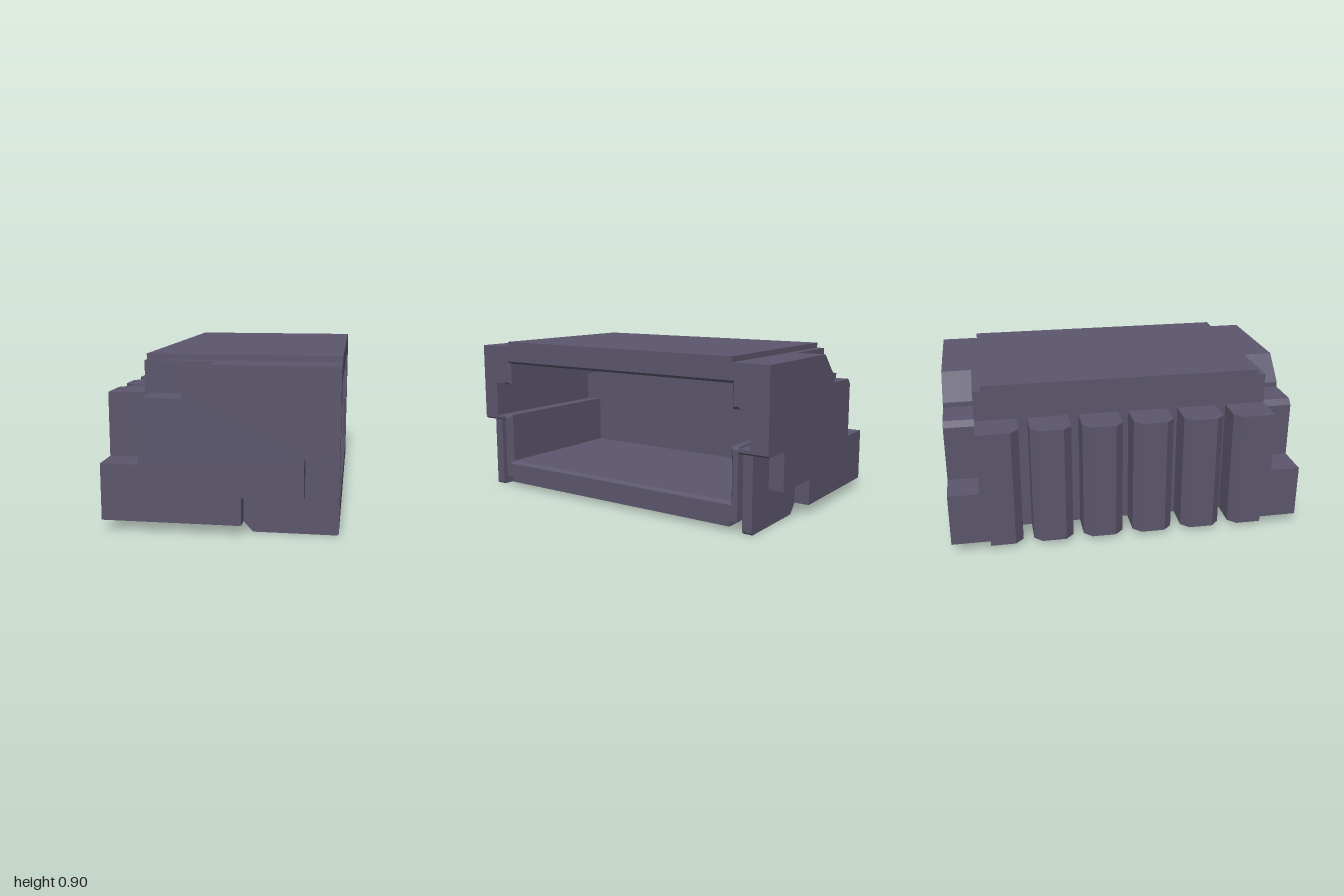
import * as THREE from 'three';

const material = new THREE.MeshStandardMaterial({ color: 0x5b566c, flatShading: true });

const toShape = (pts) => new THREE.Shape(pts.map(([x, y]) => new THREE.Vector2(x, y)));
const extrude = (pts, depth) => new THREE.ExtrudeGeometry(toShape(pts), { depth, bevelEnabled: false });

export function createModel() {
  const group = new THREE.Group();
  const add = (name, geometry) => {
    const mesh = new THREE.Mesh(geometry, material);
    mesh.name = name;
    group.add(mesh);
    return mesh;
  };
  // Section in (z, y) swept along x; z is symmetric
  const alongX = (name, pts, x0, x1) => {
    const full = [...pts, ...pts.map(([z, y]) => [-z, y]).reverse()];
    return add(name, extrude(full, x1 - x0).rotateY(Math.PI / 2).translate(x0, 0, 0));
  };
  // Profile in (x, y) swept along z, on both ends
  const bothEnds = (name, pts, z0, z1) => {
    for (const z of [z0, -z1]) add(name, extrude(pts, z1 - z0).translate(0, 0, z));
  };
  // Plan in (x, z) swept along y
  const alongY = (name, pts, y0, y1) =>
    add(name, extrude(pts.map(([x, z]) => [x, -z]), y1 - y0).rotateX(-Math.PI / 2).translate(0, y0, 0));

  // Housing shell: roof and floor channels around the cavity
  const back = -0.25, mouth = 0.59, front = 0.61, W = 0.83, R = 0.785;
  const roof = [[R, 0.9], [R, 0.87], [W, 0.87], [W, 0.635], [0.785, 0.635], [0.785, 0.765]];
  const floor = [[0.785, 0.155], [0.785, 0.445], [W, 0.445], [W, 0.055], [R, 0.055], [R, 0.025]];
  alongX('roof', roof, back, mouth);
  alongX('floor', floor, back, mouth);
  alongX('backWall', [[R, 0.9], [R, 0.87], [W, 0.87], [W, 0.055], [R, 0.055], [R, 0.025]], -0.41, back);

  // Mouth rim, with the cavity edges flared outward
  const flare = { 0.765: 0.78, 0.155: 0.14, 0.445: 0.43, 0.635: 0.65 };
  for (const [name, section] of [['roofRim', roof], ['floorRim', floor]]) {
    const mesh = alongX(name, section, mouth, front);
    const p = mesh.geometry.attributes.position;
    for (let i = 0; i < p.count; i++) {
      if (p.getX(i) < front - 0.005) continue;
      const y = p.getY(i), z = p.getZ(i);
      if (y < 0.1 || y > 0.8) continue;
      if (Math.abs(Math.abs(z) - 0.785) < 0.001) p.setZ(i, Math.sign(z) * 0.8);
      p.setY(i, flare[y.toFixed(3)] ?? y);
    }
    mesh.geometry.computeVertexNormals();
  }

  // End cheeks: stepped outline with a recess for the tab
  const lower = [[-0.61, 0.355], [-0.61, 0.055], [0.12, 0.055], [0.12, 0.2], [0.435, 0.2], [0.435, 0.41], [0.6, 0.41], [0.61, 0.42]];
  const upper = [[0.61, 0.87], [-0.04, 0.87], [-0.18, 0.73], [-0.18, 0.7], [-0.38, 0.7], [-0.41, 0.67], [-0.41, 0.355]];
  const keySlot = [[0.61, 0.437], [back, 0.437], [back, 0.643], [0.61, 0.643]];
  bothEnds('slottedCheek', [...lower, ...keySlot, ...upper], W, 0.895);
  bothEnds('outerCheek', [...lower, ...upper], 0.895, 1);

  // Mounting tabs set in the cheek recesses
  bothEnds('mountingTab', [[0.17, 0], [0.6, 0], [0.61, 0.01], [0.61, 0.41], [0.435, 0.41],
    [0.435, 0.2], [0.12, 0.2], [0.12, 0.055]], 0.86, 0.915);

  // Rear ribs with chamfered corners
  const x0 = -0.61, x1 = -0.41, c = 0.045;
  for (const z of [-0.4275, -0.1425, 0.1425, 0.4275]) {
    const a = z - 0.1125, b = z + 0.1125;
    alongY('rearRib', [[x1, a], [x0 + c, a], [x0, a + c], [x0, b - c], [x0 + c, b], [x1, b]], 0.025, 0.7);
  }
  for (const s of [-1, 1]) {
    alongY('endRib', [[x1, s * 0.6], [x0 + c, s * 0.6], [x0, s * (0.6 + c)], [x0, s * R], [x1, s * R]], 0.025, 0.7);
    alongY('endRibEdge', [[x1, s * R], [x0, s * R], [x0, s * W], [x1, s * W]], 0.055, 0.7);
  }
  return group;
}
